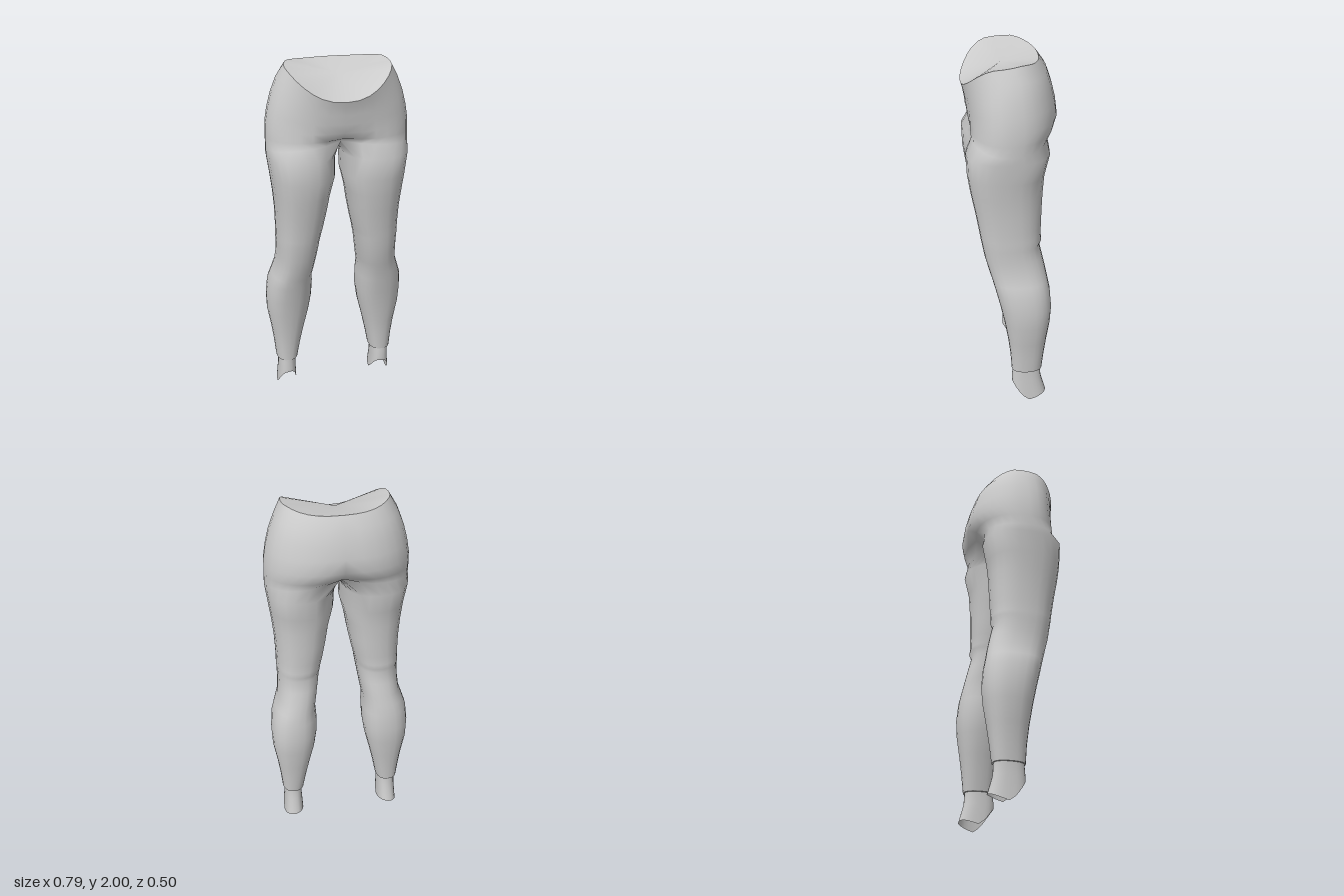
import * as THREE from 'three';
import { mergeVertices, mergeGeometries } from 'three/addons/utils/BufferGeometryUtils.js';

const OUTER = 16;           // steps from the front, round the outside, to the back
const COUNT = 24;           // points in a full leg ring
const mat = new THREE.MeshStandardMaterial({ color: 0xcccccc, side: THREE.DoubleSide });
const pw = (v, e) => Math.sign(v) * Math.pow(Math.abs(v), e);

// Half ring of the hips: front, side and back heights, half width, front and back z, centre dents
function hipRing([yf, ys, yb, x, zf, zb, df, db], mid = 0.02, e = 0.87) {
  const pts = [];
  for (let j = 0; j <= OUTER; j++) {
    const t = (Math.PI * j) / OUTER;
    const s = j === 0 || j === OUTER ? 0 : Math.sin(t), c = Math.cos(t);
    const dent = Math.pow(1 - s, 4);
    const y = ys + ((c > 0 ? yf : yb) - ys) * c * c;
    const z = c > 0 ? mid + (zf - mid) * pw(c, e) - df * dent : mid + (mid - zb) * pw(c, e) + db * dent;
    pts.push([x * pw(s, e), y, z]);
  }
  return pts;
}

// Full rounded ring of a leg: height, inner and outer x, front and back z
function legRing([y, xi, xo, zf, zb], e = 0.84) {
  return Array.from({ length: COUNT }, (_, j) => {
    const t = (j * 2 * Math.PI) / COUNT - Math.PI / 6;
    return [
      (xi + xo) / 2 + ((xo - xi) / 2) * pw(Math.sin(t), e), y,
      (zf + zb) / 2 + ((zf - zb) / 2) * pw(Math.cos(t), e),
    ];
  });
}

// Joins rings from top to bottom; hip half rings stay open on the inside
function loft(rings, side) {
  const pos = [], index = [], start = [];
  for (const r of rings) {
    start.push(pos.length / 3);
    for (const p of r) pos.push(p[0] * side, p[1], p[2]);
  }
  for (let i = 0; i < rings.length - 1; i++) {
    const n = rings[i].length;
    const steps = n === COUNT ? COUNT : OUTER;
    for (let j = 0; j < steps; j++) {
      const k = (j + 1) % n;
      const a = start[i] + j, b = start[i] + k, c = start[i + 1] + j, d = start[i + 1] + k;
      if (side > 0) index.push(a, c, b, b, c, d);
      else index.push(a, b, c, b, d, c);
    }
  }
  const g = new THREE.BufferGeometry();
  g.setAttribute('position', new THREE.Float32BufferAttribute(pos, 3));
  g.setIndex(index);
  return g;
}

function named(geometry, name) {
  geometry.computeVertexNormals();
  const mesh = new THREE.Mesh(geometry, mat);
  mesh.name = name;
  return mesh;
}

export function createModel() {
  const group = new THREE.Group();
  group.name = 'leggings';

  // Hips, from the waist rim down
  const rim = hipRing([1.845, 1.99, 1.98, 0.28, 0.25, -0.155, 0, 0], 0.05);
  for (const p of rim) p[1] += 0.012 * Math.max(0, 1 - Math.abs(p[2] + 0.05) / 0.09);
  const hips = [
    [1.81, 1.925, 1.92, 0.318, 0.24, -0.197, 0, 0],
    [1.77, 1.84, 1.845, 0.35, 0.232, -0.223, 0, 0],
    [1.72, 1.76, 1.775, 0.37, 0.226, -0.242, 0, 0.004],
    [1.67, 1.685, 1.7, 0.382, 0.226, -0.255, 0.015, 0.012],
    [1.63, 1.62, 1.64, 0.384, 0.232, -0.24, 0.05, 0.05],
  ].map((r) => hipRing(r));

  // Crotch ring: its inner points run along the centre line as a saddle
  const crotch = hipRing([1.6, 1.56, 1.6, 0.384, 0.238, -0.217, 0.11, 0.1]);
  const front = crotch[0], back = crotch[OUTER];
  for (let k = 1; k < COUNT - OUTER; k++) {
    const f = k / (COUNT - OUTER);
    crotch.push([0, 1.6 - 0.04 * Math.sin(Math.PI * f), back[2] + (front[2] - back[2]) * f]);
  }

  // Thigh, knee and calf
  const hem = [0.2, 0.222, 0.346, 0.006, -0.166];
  const legs = [
    [1.52, 0.018, 0.383, 0.24, -0.198],
    [1.4, 0.021, 0.367, 0.235, -0.172],
    [1.3, 0.046, 0.354, 0.22, -0.164],
    [1.2, 0.062, 0.345, 0.2, -0.16],
    [1.1, 0.082, 0.341, 0.182, -0.157],
    [1.045, 0.095, 0.34, 0.173, -0.154],
    [1.02, 0.1, 0.341, 0.169, -0.16],
    [0.99, 0.105, 0.339, 0.163, -0.147],
    [0.92, 0.116, 0.339, 0.15, -0.164],
    [0.84, 0.129, 0.346, 0.128, -0.182],
    [0.78, 0.139, 0.366, 0.11, -0.194],
    [0.72, 0.135, 0.386, 0.094, -0.206],
    [0.62, 0.137, 0.395, 0.069, -0.215],
    [0.52, 0.152, 0.391, 0.047, -0.208],
    [0.4, 0.181, 0.37, 0.026, -0.19],
    [0.3, 0.203, 0.356, 0.013, -0.177],
    hem,
  ].map((r) => legRing(r));

  const rings = [rim, ...hips, crotch, ...legs];
  const halves = [loft(rings, 1), loft(rings, -1)];
  group.add(named(mergeVertices(mergeGeometries(halves), 1e-4), 'hipsAndLegs'));

  // Sunken cover inside the waist, a fan about its centre
  const loop = [...rim, ...rim.slice(1, -1).reverse().map(([x, y, z]) => [-x, y, z])];
  const cap = new THREE.BufferGeometry();
  cap.setAttribute('position', new THREE.Float32BufferAttribute([[0, 1.94, 0.04], ...loop].flat(), 3));
  cap.setIndex(loop.flatMap((_, i) => [0, i + 1, ((i + 1) % loop.length) + 1]));
  group.add(named(cap, 'waistCover'));

  // Ankles with a ragged lower edge, and the underside of each hem
  const ankleTop = legRing([0.2, 0.235, 0.335, 0.0, -0.158]);
  const ankleMid = legRing([0.135, 0.235, 0.335, 0.005, -0.162]);
  const ankleEnd = legRing([0, 0.23, 0.343, 0.004, -0.19]).map(([x, , z], j) => {
    const t = (j * 2 * Math.PI) / COUNT - Math.PI / 6;
    const c = Math.cos(t), s = Math.sin(t);
    const y = (c > 0 ? 0.115 * Math.pow(c, 1.2) : -0.035 * c) + (s < 0 ? -0.02 * s : 0);
    return [x, y, z];
  });
  for (const [side, label] of [[1, 'left'], [-1, 'right']]) {
    group.add(named(loft([legRing(hem), ankleTop], side), label + 'HemUnderside'));
    group.add(named(loft([ankleTop, ankleMid, ankleEnd], side), label + 'Ankle'));
  }
  return group;
}
